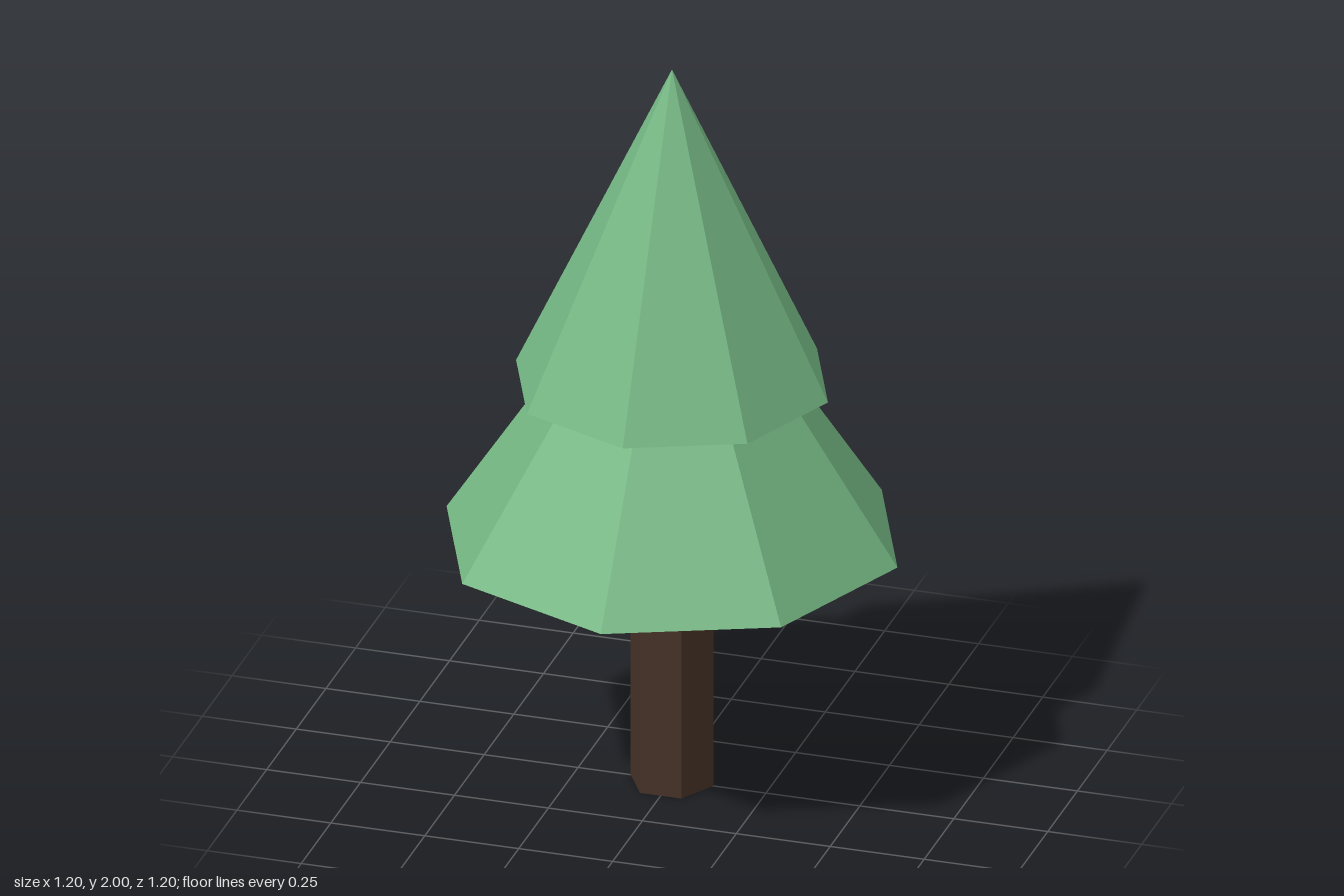
import * as THREE from 'three';

export function createModel() {
  const model = new THREE.Group();
  model.name = 'pineTree';

  const leafGreen = new THREE.MeshStandardMaterial({ color: 0x74b783, flatShading: true });
  leafGreen.name = 'leafGreen';
  const barkBrown = new THREE.MeshStandardMaterial({ color: 0x453126, flatShading: true, side: THREE.DoubleSide });
  barkBrown.name = 'barkBrown';

  // Hexagonal open-ended trunk with flat sides facing front and back
  const trunk = new THREE.Mesh(
    new THREE.CylinderGeometry(0.11, 0.11, 0.685, 6, 1, true, Math.PI / 2), barkBrown);
  trunk.name = 'trunk';
  trunk.position.y = 0.685 / 2;
  model.add(trunk);

  // Eight-sided foliage tiers, corners on the axes
  const tiers = [
    { name: 'lowerFoliage', radius: 0.6, base: 0.685, top: 1.597 },
    { name: 'upperFoliage', radius: 0.415, base: 1.123, top: 2 },
  ];
  for (const { name, radius, base, top } of tiers) {
    const tier = new THREE.Mesh(new THREE.ConeGeometry(radius, top - base, 8), leafGreen);
    tier.name = name;
    tier.position.y = (base + top) / 2;
    model.add(tier);
  }

  return model;
}
